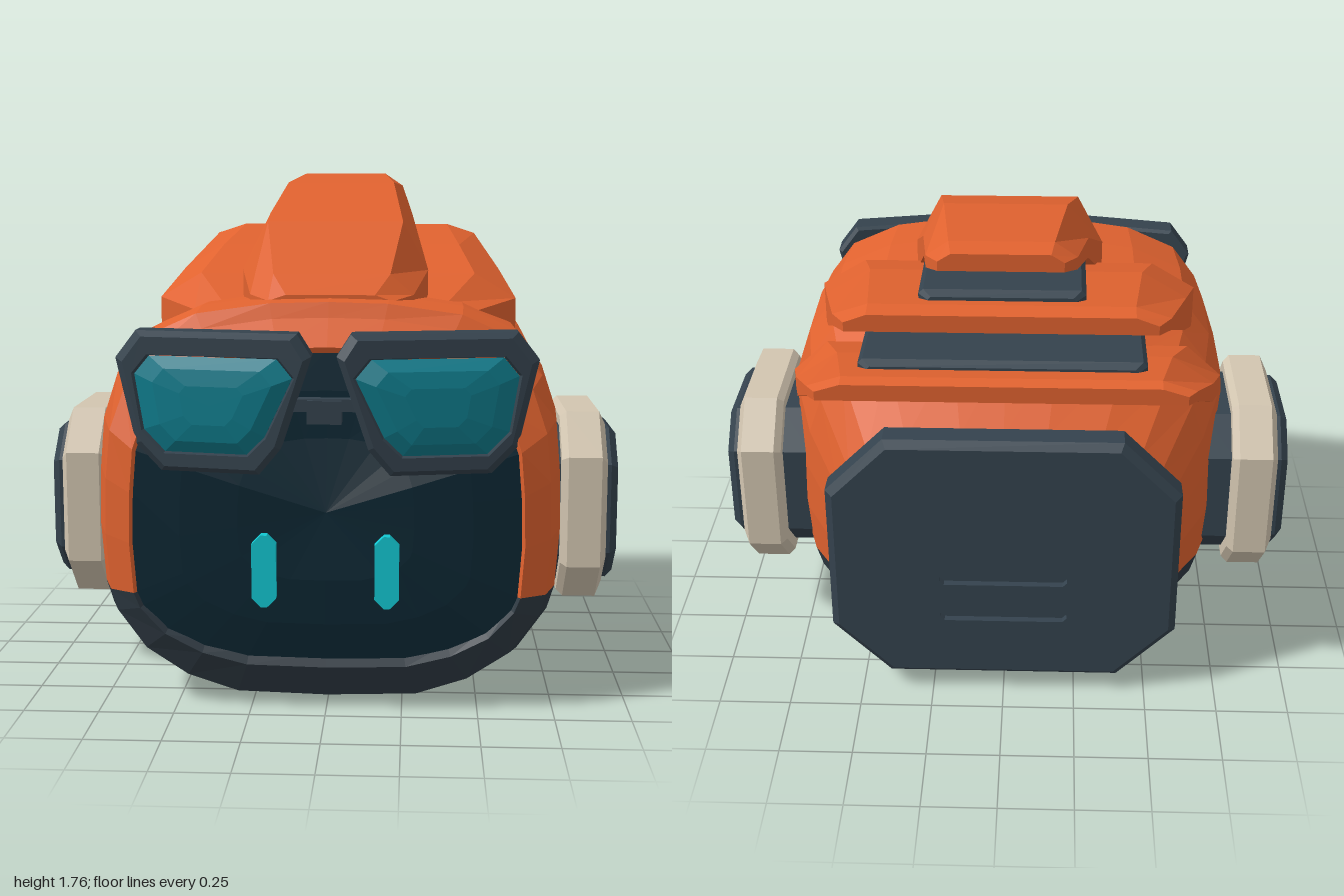
import * as THREE from 'three';

const mat = (name, color) => {
  const m = new THREE.MeshStandardMaterial({ color });
  m.name = name;
  return m;
};

// Flat-faceted skin over rings that run from +z to -z, each counter-clockwise seen from +z
function loft(rings, { closed = true, front = true, back = true } = {}) {
  const pos = [];
  const tri = (...pts) => pts.forEach((p) => pos.push(...p));
  const n = rings[0].length;
  const last = closed ? n : n - 1;
  for (let i = 0; i + 1 < rings.length; i++) {
    for (let j = 0; j < last; j++) {
      const k = (j + 1) % n;
      const [a, b, c, d] = [rings[i][j], rings[i][k], rings[i + 1][j], rings[i + 1][k]];
      tri(a, c, b);
      tri(b, c, d);
    }
  }
  const cap = (ring, flip) => {
    const mid = [0, 1, 2].map((q) => ring.reduce((s, p) => s + p[q], 0) / n);
    for (let j = 0; j < n; j++) {
      const k = (j + 1) % n;
      if (flip) tri(mid, ring[k], ring[j]);
      else tri(mid, ring[j], ring[k]);
    }
  };
  if (closed && front) cap(rings[0], false);
  if (closed && back) cap(rings[rings.length - 1], true);
  const g = new THREE.BufferGeometry();
  g.setAttribute('position', new THREE.Float32BufferAttribute(pos, 3));
  g.computeVertexNormals();
  return g;
}

// Rectangle with cut corners
const oct = (w, h, c, z, y = 0, x = 0) => [
  [w, c - h], [w, h - c], [w - c, h], [c - w, h], [-w, h - c], [-w, c - h], [c - w, -h], [w - c, -h],
].map(([px, py]) => [px + x, py + y, z]);

// Half outline of the head, bottom to top; SPLIT is the colour border
const HALF = [[0, 0.01], [0.32, 0.02], [0.5, 0.08], [0.65, 0.18], [0.75, 0.32], [0.775, 0.4], [0.79, 0.6],
  [0.785, 0.8], [0.77, 0.97], [0.72, 1.12], [0.63, 1.24], [0.45, 1.32], [0.2, 1.355], [0, 1.36]];
const OUTLINE = [...HALF, ...HALF.slice(1, -1).reverse().map(([x, y]) => [-x, y])];
const SPLIT = 5;

// Head cross-section; a slanted one leans back above the eyes
function section(z, sx, yb, yt, slant = 0) {
  return OUTLINE.map(([x, y]) => {
    const v = y < 0.4 ? 0.4 - (0.4 - y) * (0.4 - yb) / 0.39 : 0.4 + (y - 0.4) * (yt - 0.4) / 0.96;
    return [x * sx, v, z - slant * Math.max(0, v - 0.9)];
  });
}

export function createModel() {
  const group = new THREE.Group();
  group.name = 'robotHead';
  const orange = mat('orange', 0xe0622f);
  const navy = mat('slate navy', 0x34424d);
  const chinNavy = mat('dark slate', 0x2e3942);
  const cream = mat('cream', 0xd2c5b0);
  const glass = mat('visor black', 0x0c2632);
  const lensTeal = mat('lens teal', 0x0f7b8b);
  const cyan = mat('eye cyan', 0x12c6d0);
  const add = (name, geometry, material, parent = group) => {
    const m = new THREE.Mesh(geometry, material);
    m.name = name;
    parent.add(m);
    return m;
  };

  // Head shell, with an inward lip around the visor
  const shell = [
    section(0.665, 0.8, 0.2, 1.18, 0.25),
    section(0.69, 0.82, 0.155, 1.21, 0.25),
    section(0.64, 0.93, 0.045, 1.3, 0.25),
    section(0.52, 0.98, 0.015, 1.35),
    section(0.3, 1, 0.01, 1.36),
    section(0, 1, 0.01, 1.355),
    section(-0.15, 0.97, 0.015, 1.31),
    section(-0.35, 0.89, 0.05, 1.22),
    section(-0.55, 0.73, 0.1, 1.0),
  ];
  const n = OUTLINE.length;
  add('upperShell', loft(shell.map((r) => r.slice(SPLIT, n - SPLIT + 1)), { closed: false }), orange);
  add('lowerShell', loft(shell.map((r) => [...r.slice(n - SPLIT), ...r.slice(0, SPLIT + 1)]), { closed: false }), chinNavy);

  // Slightly domed visor and eyes
  const rim = section(0.675, 0.81, 0.18, 1.2, 0.25);
  const dome = (s, dz) => rim.map(([x, y, z]) => [x * s, 0.68 + (y - 0.68) * s, z + dz]);
  add('visor', loft([dome(0.45, 0.03), dome(0.75, 0.022), rim], { back: false }), glass);
  for (const s of [1, -1]) {
    add(s > 0 ? 'leftEye' : 'rightEye',
      loft([oct(0.04, 0.12, 0.03, 0.735, 0.49, s * 0.2), oct(0.04, 0.12, 0.03, 0.69, 0.49, s * 0.2)]), cyan);
  }

  // Swept hair locks: [z, half width, top half width, top y, edge y, underside y]
  const lock = (name, stations) => add(name, loft(stations.map(([z, w, t, yt, ye, yb]) =>
    [[w, yb, z], [w, ye, z], [t, yt, z], [-t, yt, z], [-w, ye, z], [-w, yb, z]])), orange);
  lock('topLock', [
    [0.42, 0.21, 0.15, 1.365, 1.345, 1.28], [0.33, 0.28, 0.2, 1.43, 1.36, 1.28],
    [0.09, 0.33, 0.24, 1.6, 1.43, 1.32], [-0.33, 0.27, 0.2, 1.735, 1.62, 1.55],
    [-0.72, 0.23, 0.16, 1.768, 1.72, 1.68], [-0.79, 0.19, 0.15, 1.755, 1.73, 1.7]]);
  lock('middleLock', [
    [0.14, 0.5, 0.4, 1.32, 1.29, 1.2], [-0.05, 0.65, 0.5, 1.41, 1.32, 1.17],
    [-0.33, 0.6, 0.45, 1.5, 1.41, 1.29], [-0.74, 0.52, 0.41, 1.566, 1.53, 1.49],
    [-0.8, 0.48, 0.41, 1.556, 1.53, 1.5]]);
  lock('lowerLock', [
    [-0.17, 0.71, 0.62, 1.14, 1.04, 0.97], [-0.25, 0.74, 0.62, 1.19, 1.08, 1.01],
    [-0.5, 0.69, 0.55, 1.275, 1.18, 1.11], [-0.78, 0.61, 0.5, 1.335, 1.3, 1.265],
    [-0.82, 0.58, 0.5, 1.325, 1.3, 1.27]]);

  // Dark slats tucked between the locks
  for (const [name, w, y] of [['upperSlat', 0.26, 1.55], ['lowerSlat', 0.46, 1.305]]) {
    add(name, loft([oct(w, 0.036, 0.015, -0.2, y), oct(w, 0.036, 0.015, -0.67, y), oct(w - 0.03, 0.02, 0.01, -0.695, y)]), navy);
  }

  // Back panel with two slots cut into its face
  const panelRing = (inset, z) => oct(0.6 - inset, 0.475 - inset, 0.2 - inset * 0.5, z, 0.545);
  add('backPanel', loft([panelRing(0.025, -0.52), panelRing(0, -0.545), panelRing(0, -0.625)]), navy);
  add('backPanelBevel', loft([panelRing(0, -0.625), panelRing(0.025, -0.65)], { front: false, back: false }), navy);
  const face = new THREE.Shape(panelRing(0.025, 0).map(([x, y]) => new THREE.Vector2(x, y)));
  for (const y of [0.48, 0.33]) {
    face.holes.push(new THREE.Path(oct(0.22, 0.022, 0.015, 0, y).reverse().map(([x, v]) => new THREE.Vector2(x, v))));
  }
  add('backPanelFace', new THREE.ExtrudeGeometry(face, { depth: 0.025, bevelEnabled: false }), navy).position.z = -0.65;

  // Ear pods, built facing +z and turned outward
  const pod = (r, z) => oct(r, r, r * 0.42, z);
  for (const s of [1, -1]) {
    const ear = new THREE.Group();
    ear.name = s > 0 ? 'leftEar' : 'rightEar';
    ear.position.set(0, 0.605, -0.015);
    ear.rotation.y = s * Math.PI / 2;
    group.add(ear);
    add('earHub', loft([pod(0.28, 0.81), pod(0.28, 0.7)]), navy, ear);
    add('earRing', loft([pod(0.285, 0.96), pod(0.335, 0.935), pod(0.335, 0.82), pod(0.315, 0.798)]), cream, ear);
    add('earCap', loft([pod(0.25, 1.0), pod(0.272, 0.975), pod(0.272, 0.95)]), navy, ear);
    for (const side of [1, -1]) {
      add('earBar', new THREE.BoxGeometry(0.045, 0.29, 0.006), cream, ear).position.set(side * 0.125, 0, 1.0);
    }
  }

  // Goggles: rims swept back towards the sides, domed lenses, bridge
  const RIM = [[0.62, 0.9], [0.685, 1.18], [0.615, 1.27], [0.085, 1.27], [0.04, 1.2], [0.14, 0.9], [0.21, 0.815], [0.535, 0.815]];
  const LENS = [[0.59, 0.95], [0.62, 1.13], [0.57, 1.19], [0.15, 1.19], [0.1, 1.13], [0.19, 0.94], [0.25, 0.88], [0.52, 0.88]];
  for (const s of [1, -1]) {
    const ring = (pts, z, k = 1) => {
      const out = pts.map(([px, py]) => {
        const x = 0.36 + (px - 0.36) * k;
        return [s * x, 1.04 + (py - 1.04) * k, z - 0.2 * (x - 0.06)];
      });
      return s > 0 ? out : out.reverse();
    };
    const side = s > 0 ? 'left' : 'right';
    add(side + 'GoggleRim', loft([ring(LENS, 0.785), ring(LENS, 0.81, 1.03), ring(RIM, 0.81, 0.92),
      ring(RIM, 0.785), ring(RIM, 0.7), ring(RIM, 0.685, 0.96)], { front: false }), navy);
    add(side + 'GoggleLens', loft([ring(LENS, 0.835, 0.4), ring(LENS, 0.825, 0.75), ring(LENS, 0.795)], { back: false }), lensTeal);
  }
  add('goggleBridge', new THREE.BoxGeometry(0.11, 0.075, 0.07), navy).position.set(0, 1.02, 0.74);
  add('bridgeClip', new THREE.BoxGeometry(0.2, 0.04, 0.05), navy).position.set(0, 1.04, 0.73);

  return group;
}
